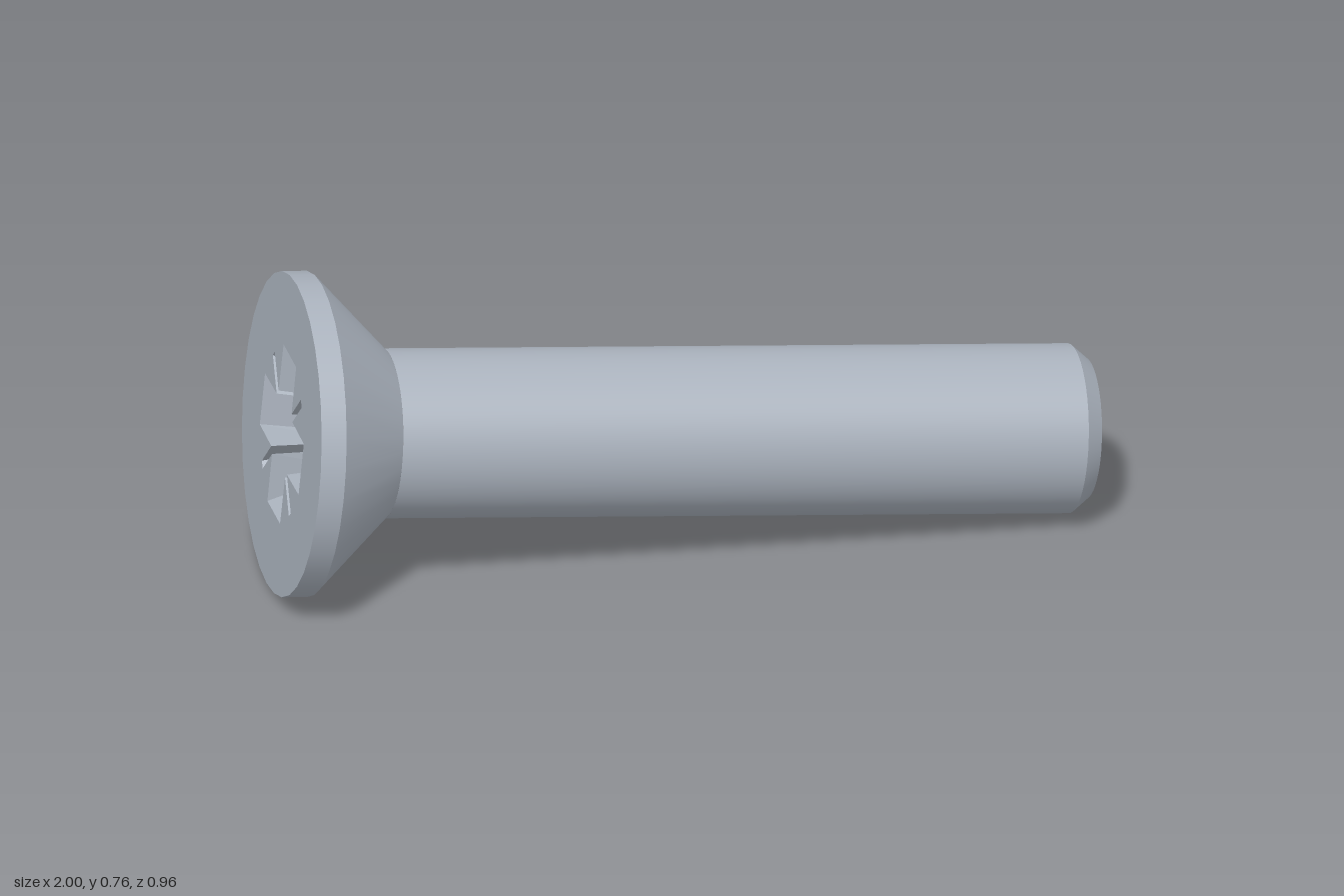
import * as THREE from 'three';

export function createModel() {
  const steel = new THREE.MeshStandardMaterial({ color: 0xaab2bd });
  steel.name = 'steel grey';
  const model = new THREE.Group();
  model.name = 'countersunkScrew';

  // Screw axis is local +y, running from the head face to the tip
  const screw = new THREE.Group();
  screw.name = 'screw';
  model.add(screw);
  const add = (name, geometry) => {
    const mesh = new THREE.Mesh(geometry, steel);
    mesh.name = name;
    screw.add(mesh);
  };

  const HEAD = 0.38, SHANK = 0.198, TIP = 0.165, LENGTH = 1.927;

  // Turned sections: name, start, end, start radius, end radius, sides
  const sections = [
    ['headRim', 0, 0.06, HEAD, HEAD, 32],
    ['headCone', 0.06, 0.242, HEAD, SHANK, 32],
    ['shank', 0.242, LENGTH - 0.04, SHANK, SHANK, 48],
    ['tipChamfer', LENGTH - 0.04, LENGTH, SHANK, TIP, 48],
  ];
  for (const [name, y0, y1, r0, r1, sides] of sections) {
    const g = new THREE.CylinderGeometry(r1, r0, y1 - y0, sides, 1, true);
    add(name, g.translate(0, (y0 + y1) / 2, 0));
  }
  add('tipFace', new THREE.CircleGeometry(TIP, 48).rotateX(-Math.PI / 2).translate(0, LENGTH, 0));

  // Cross outline with a thin slit in each corner; repeated for four quarters
  const crossOutline = (reach, half, corner, slit, w) => {
    const points = [];
    const quarter = [
      [reach, -half], [reach, half], [corner + w, corner - w],
      [slit + w, slit - w], [slit - w, slit + w], [corner - w, corner + w],
    ];
    for (let i = 0; i < 4; i++) {
      for (const [x, y] of quarter) {
        points.push(new THREE.Vector2(x, y).rotateAround(new THREE.Vector2(), i * Math.PI / 2));
      }
    }
    return points;
  };
  const DEPTH = 0.2;
  const mouth = crossOutline(0.2, 0.065, 0.074, 0.142, 0.007);
  const floor = crossOutline(0.11, 0.045, 0.055, 0.068, 0.006);

  // Head face with the driver recess cut out
  const rim = [];
  for (let i = 0; i < 32; i++) {
    const a = i / 32 * Math.PI * 2;
    rim.push(new THREE.Vector2(HEAD * Math.cos(a), HEAD * Math.sin(a)));
  }
  const face = new THREE.Shape(rim);
  face.holes.push(new THREE.Path(mouth));
  add('headFace', new THREE.ShapeGeometry(face).rotateX(Math.PI / 2));

  // Tapered recess walls and floor
  const wall = [];
  mouth.forEach((a, i) => {
    const j = (i + 1) % mouth.length;
    const b = mouth[j], af = floor[i], bf = floor[j];
    wall.push(a.x, a.y, 0, b.x, b.y, 0, bf.x, bf.y, -DEPTH);
    wall.push(a.x, a.y, 0, bf.x, bf.y, -DEPTH, af.x, af.y, -DEPTH);
  });
  const walls = new THREE.BufferGeometry();
  walls.setAttribute('position', new THREE.Float32BufferAttribute(wall, 3));
  walls.computeVertexNormals();
  add('recessWalls', walls.rotateX(Math.PI / 2));
  add('recessFloor', new THREE.ShapeGeometry(new THREE.Shape(floor))
    .translate(0, 0, -DEPTH).rotateX(Math.PI / 2));

  // Lay the screw down: head at -x, resting on its rim and tip
  const axis = new THREE.Vector3(0.9734, -0.0965, 0.2076).normalize();
  const side = new THREE.Vector3(-axis.z, 0, axis.x).normalize();
  const up = new THREE.Vector3().crossVectors(side, axis);
  screw.quaternion.setFromRotationMatrix(new THREE.Matrix4().makeBasis(side, axis, up));
  screw.position.set(-0.914, 0.384, -0.107);
  return model;
}
